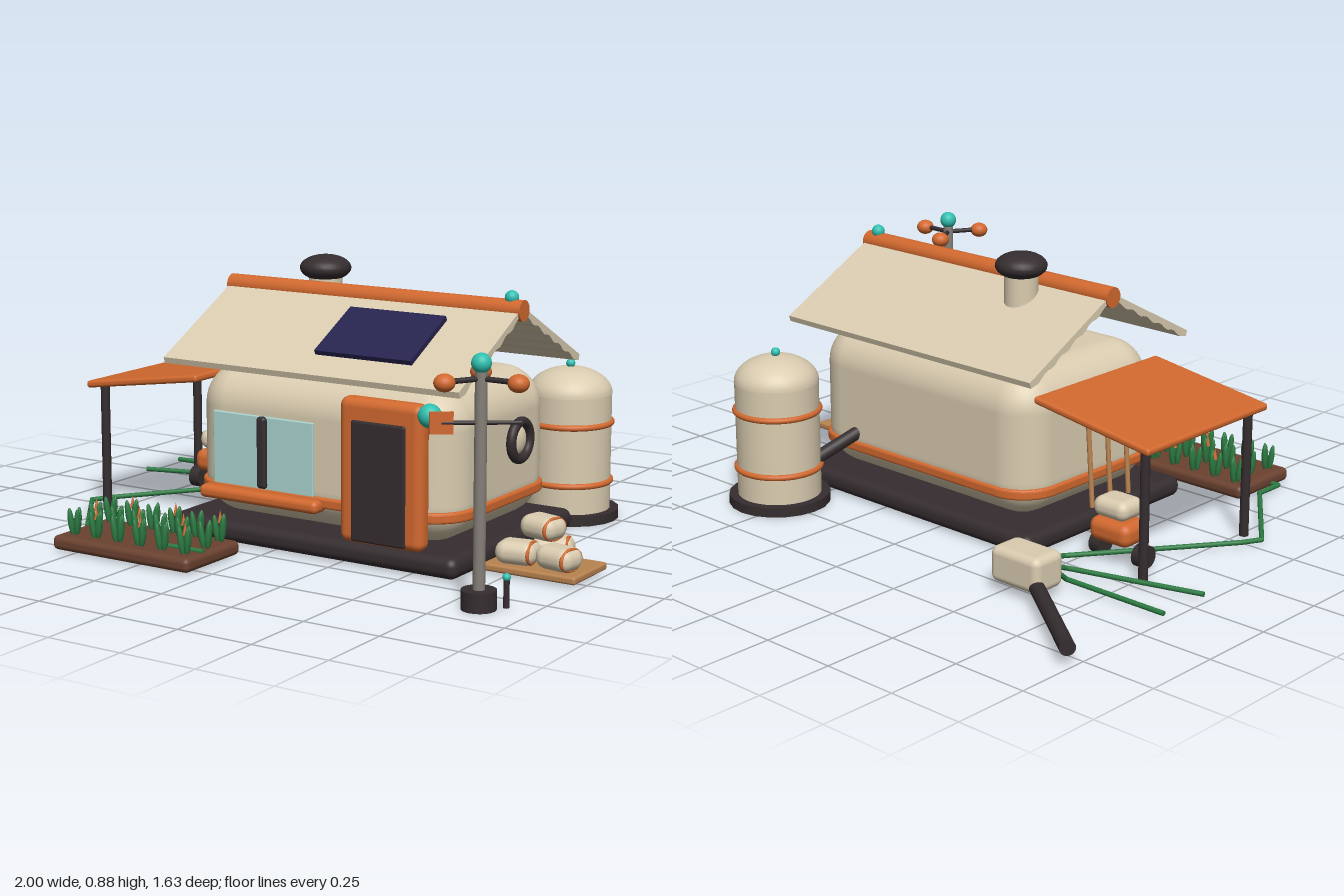
import * as THREE from 'three';
import { RoundedBoxGeometry } from 'three/addons/geometries/RoundedBoxGeometry.js';

const mat = (name, color) => {
  const m = new THREE.MeshStandardMaterial({ color });
  m.name = name;
  return m;
};
const V = (x, y, z) => new THREE.Vector3(x, y, z);

export function createModel() {
  const cream = mat('cream', 0xdaccb0), orange = mat('orange', 0xd2692f), dark = mat('charcoal', 0x352d2f);
  const teal = mat('teal', 0x2fc0b0), glass = mat('glass', 0xaad4cf), navy = mat('navy', 0x27234f);
  const green = mat('green', 0x2c7a42), brown = mat('brown', 0x6b4230), tan = mat('tan', 0xb98350), grey = mat('grey', 0x857f78);
  const root = new THREE.Group();
  root.name = 'homestead';

  const group = (name, parent = root) => {
    const g = new THREE.Group();
    g.name = name;
    parent.add(g);
    return g;
  };
  const add = (name, geo, m, x, y, z, parent = root) => {
    const mesh = new THREE.Mesh(geo, m);
    mesh.name = name;
    mesh.position.set(x, y, z);
    parent.add(mesh);
    return mesh;
  };
  // rounded box given by its lower and upper limits
  const rbox = (name, m, [x0, x1], [y0, y1], [z0, z1], r, parent) =>
    add(name, new RoundedBoxGeometry(x1 - x0, y1 - y0, z1 - z0, 5, r), m, (x0 + x1) / 2, (y0 + y1) / 2, (z0 + z1) / 2, parent);
  const ball = (name, m, x, y, z, rx, ry = rx, rz = rx, parent = root) => {
    const b = add(name, new THREE.SphereGeometry(1, 24, 16), m, x, y, z, parent);
    b.scale.set(rx, ry, rz);
    return b;
  };
  // cylinder between two points
  const rod = (name, m, a, b, r, parent = root) => {
    const mid = a.clone().add(b).multiplyScalar(0.5);
    const c = add(name, new THREE.CylinderGeometry(r, r, a.distanceTo(b), 20), m, mid.x, mid.y, mid.z, parent);
    c.quaternion.setFromUnitVectors(V(0, 1, 0), b.clone().sub(a).normalize());
    return c;
  };

  // house body on its slab
  const house = group('house');
  rbox('foundation', dark, [-0.4, 0.665], [0.008, 0.076], [-0.318, 0.45], 0.03, house);
  rbox('body', cream, [-0.345, 0.615], [0.075, 0.56], [-0.265, 0.395], 0.13, house);

  // belt around the body
  const belt = new THREE.Shape();
  const bx = 0.482, bz = 0.332, br = 0.13;
  belt.absarc(bx - br, bz - br, br, 0, Math.PI / 2);
  belt.absarc(br - bx, bz - br, br, Math.PI / 2, Math.PI);
  belt.absarc(br - bx, br - bz, br, Math.PI, Math.PI * 1.5);
  belt.absarc(bx - br, br - bz, br, Math.PI * 1.5, Math.PI * 2);
  const beltGeo = new THREE.ExtrudeGeometry(belt, { depth: 0.018, bevelThickness: 0.008, bevelSize: 0.008, bevelSegments: 3, curveSegments: 10 });
  add('belt', beltGeo.rotateX(-Math.PI / 2), orange, 0.135, 0.163, 0.066, house);

  // gabled roof, cross-section swept along x, with a rippled underside
  const half = 0.383, n = 48, roofPts = [];
  const top = u => 0.785 - 0.53 * Math.abs(u);
  roofPts.push(new THREE.Vector2(-half, top(half)), new THREE.Vector2(0, top(0)), new THREE.Vector2(half, top(half)));
  for (let i = 0; i <= n; i++) {
    const u = half - (2 * half * i) / n;
    roofPts.push(new THREE.Vector2(u * 0.985, top(u) - 0.024 - 0.005 * Math.cos(u * 90)));
  }
  const roofGeo = new THREE.ExtrudeGeometry(new THREE.Shape(roofPts.reverse()), { depth: 1.08, bevelEnabled: false });
  add('roof', roofGeo.rotateY(Math.PI / 2), cream, -0.405, 0, 0.068, house);
  rod('ridgeCap', orange, V(-0.41, 0.772, 0.068), V(0.68, 0.772, 0.068), 0.033, house);
  ball('ridgeLight', teal, 0.635, 0.81, 0.066, 0.022, 0.022, 0.022, house);

  // solar panel raised off the front slope
  const panel = add('solarPanel', new THREE.BoxGeometry(0.345, 0.016, 0.232), navy, 0.303, 0.694, 0.288, house);
  panel.rotation.x = Math.atan(0.53);

  // chimney
  rod('chimneyPipe', cream, V(-0.1, 0.69, -0.018), V(-0.1, 0.83, -0.018), 0.055, house);
  ball('chimneyCap', dark, -0.1, 0.838, -0.018, 0.084, 0.043, 0.084, house);

  // window, divider and sill
  rbox('windowPane', glass, [-0.25, 0.13], [0.185, 0.42], [0.385, 0.402], 0.004, house);
  rbox('windowDivider', dark, [-0.077, -0.042], [0.19, 0.42], [0.39, 0.416], 0.012, house);
  rbox('windowSill', orange, [-0.285, 0.165], [0.14, 0.182], [0.37, 0.44], 0.018, house);

  // door and its lamp
  rbox('doorFrame', orange, [0.253, 0.547], [0.075, 0.527], [0.385, 0.45], 0.028, house);
  rbox('doorLeaf', dark, [0.302, 0.494], [0.085, 0.46], [0.44, 0.457], 0.008, house);
  ball('doorLamp', teal, 0.592, 0.508, 0.475, 0.036, 0.036, 0.036, house);

  // porthole on the side wall
  add('portholeRim', new THREE.TorusGeometry(0.059, 0.016, 14, 40).rotateY(Math.PI / 2), dark, 0.628, 0.35, -0.015, house);
  ball('portholeDome', cream, 0.615, 0.35, -0.015, 0.022, 0.047, 0.047, house);

  // awning with posts and tools leaning on the wall
  const awning = group('awning');
  const sheet = add('awningSheet', new RoundedBoxGeometry(0.46, 0.024, 0.595, 3, 0.01), orange, -0.583, 0.468, 0.053, awning);
  sheet.rotation.z = Math.atan2(0.065, 0.45);
  for (const z of [-0.2, 0.307]) rod('awningPost', dark, V(-0.765, 0.005, z), V(-0.765, 0.442, z), 0.015, awning);
  for (const z of [0, 0.09, 0.18]) rod('leaningTool', tan, V(-0.392, 0.09, z), V(-0.37, 0.39, z), 0.008, awning);

  // small wheeled helper under the awning
  const helper = group('helperCart');
  rbox('cartBody', orange, [-0.688, -0.53], [0.075, 0.152], [-0.19, -0.07], 0.03, helper);
  rbox('cartTop', cream, [-0.672, -0.54], [0.155, 0.22], [-0.185, -0.075], 0.03, helper);
  for (const x of [-0.7, -0.53]) rod('cartWheel', dark, V(x - 0.02, 0.045, -0.12), V(x + 0.02, 0.045, -0.12), 0.036, helper);

  // water tank
  const tank = group('waterTank');
  tank.position.set(0.56, 0, -0.48);
  rod('tankBase', dark, V(0, 0.004, 0), V(0, 0.036, 0), 0.168, tank);
  add('tankBody', new THREE.CylinderGeometry(0.138, 0.138, 0.39, 48), cream, 0, 0.225, 0, tank);
  const domeProfile = [];
  for (let i = 0; i <= 14; i++) {
    const a = (i / 14) * Math.PI / 2;
    domeProfile.push(new THREE.Vector2(0.139 * Math.cos(a), 0.42 + 0.087 * Math.sin(a)));
  }
  add('tankDome', new THREE.LatheGeometry(domeProfile, 48), cream, 0, 0, 0, tank);
  for (const y of [0.13, 0.325]) add('tankHoop', new THREE.TorusGeometry(0.138, 0.01, 12, 48).rotateX(Math.PI / 2), orange, 0, y, 0, tank);
  ball('tankKnob', teal, 0, 0.517, 0, 0.015, 0.015, 0.015, tank);
  rod('tankPipe', dark, V(0.41, 0.225, -0.24), V(0.49, 0.13, -0.42), 0.022);

  // weather mast
  const mast = group('weatherMast');
  mast.position.set(0.85, 0, 0.63);
  rod('mastFoot', dark, V(0, 0.004, 0), V(0, 0.062, 0), 0.052, mast);
  rod('mastPole', grey, V(0, 0.05, 0), V(0, 0.69, 0), 0.018, mast);
  ball('mastLight', teal, 0, 0.714, 0, 0.029, 0.029, 0.029, mast);
  for (let i = 0; i < 3; i++) {
    const a = (i * Math.PI * 2) / 3, x = 0.118 * Math.cos(a), z = 0.118 * Math.sin(a);
    rod('cupArm', dark, V(0, 0.67, 0), V(x, 0.67, z), 0.008, mast);
    ball('cup', orange, x, 0.668, z, 0.031, 0.026, 0.031, mast);
  }
  rod('vaneRod', dark, V(-0.09, 0.545, 0.065), V(0.095, 0.545, -0.063), 0.006, mast);
  const vane = add('vanePlate', new THREE.BoxGeometry(0.068, 0.064, 0.01), orange, -0.09, 0.545, 0.064, mast);
  vane.rotation.y = 0.6;
  rod('pathLampPost', dark, V(0.07, 0.01, -0.035), V(0.07, 0.095, -0.035), 0.009, mast);
  ball('pathLamp', teal, 0.07, 0.1, -0.035, 0.012, 0.012, 0.012, mast);

  // pallet of sacks
  const pallet = group('sackPallet');
  rbox('pallet', tan, [0.67, 0.985], [0.012, 0.036], [0.085, 0.3], 0.008, pallet);
  for (const [x, y, z, yaw] of [[0.765, 0.072, 0.243, 0.15], [0.9, 0.072, 0.238, -0.2], [0.83, 0.072, 0.14, 0.3], [0.825, 0.148, 0.198, -0.25]]) {
    const s = group('sack', pallet);
    s.position.set(x, y, z);
    s.rotation.y = yaw;
    add('sackBody', new RoundedBoxGeometry(0.13, 0.072, 0.1, 5, 0.034), cream, 0, 0, 0, s);
    const tie = add('sackTie', new THREE.TorusGeometry(0.04, 0.006, 8, 24).rotateY(Math.PI / 2), orange, 0.045, 0, 0, s);
    tie.scale.set(1, 0.82, 1.13);
  }

  // planter with three rows of sprouts
  const planter = group('planter');
  rbox('planterBed', brown, [-0.58, -0.05], [0.008, 0.054], [0.535, 0.81], 0.018, planter);
  for (let row = 0; row < 3; row++) for (let col = 0; col < 6; col++) {
    const p = group('sprout', planter);
    p.position.set(-0.528 + col * 0.086 + (row === 1 ? 0.012 : 0), 0.05, 0.575 + row * 0.089);
    for (let k = 0; k < 3; k++) {
      const a = (k * Math.PI * 2) / 3 + Math.PI / 2 + Math.PI;
      const leaf = ball('leaf', green, 0.014 * Math.cos(a), 0.042, 0.014 * Math.sin(a), 0.01, 0.045, 0.01, p);
      leaf.rotation.set(0.12 * Math.sin(a), 0, -0.12 * Math.cos(a));
    }
    if ((row + col) % 2) add('bud', new THREE.ConeGeometry(0.009, 0.04, 10), orange, 0, 0.082, 0, p);
  }

  // pump box with outlet pipe and watering hoses
  const pump = group('pump');
  rbox('pumpBox', cream, [-0.66, -0.468], [0.035, 0.15], [-0.565, -0.44], 0.025, pump);
  rod('outletPipe', dark, V(-0.985, 0.057, -0.8), V(-0.63, 0.057, -0.535), 0.024, pump);
  const y = 0.022, hoses = [
    [[-0.61, 0.07, -0.43], [-0.61, y, -0.375], [-0.985, y, -0.375]],
    [[-0.558, 0.07, -0.43], [-0.555, y, -0.31], [-0.985, y, -0.185]],
    [[-0.503, 0.07, -0.43], [-0.485, y, -0.24], [-0.82, y, 0.215], [-0.855, y, 0.28], [-0.605, y, 0.61], [-0.605, y, 0.715], [-0.57, y, 0.715]],
    [[-0.19, 0.056, 0.715], [-0.06, 0.056, 0.715]],
  ];
  hoses.forEach((pts, i) => {
    const v = pts.map(p => V(...p));
    if (i < 3) rod('nozzle', orange, V(v[0].x, 0.07, -0.45), V(v[0].x, 0.07, -0.425), 0.017, pump);
    for (let k = 1; k < v.length; k++) {
      rod('hose', green, v[k - 1], v[k], 0.008, pump);
      if (k < v.length - 1) ball('hoseJoint', green, v[k].x, v[k].y, v[k].z, 0.008, 0.008, 0.008, pump);
    }
  });

  return root;
}
